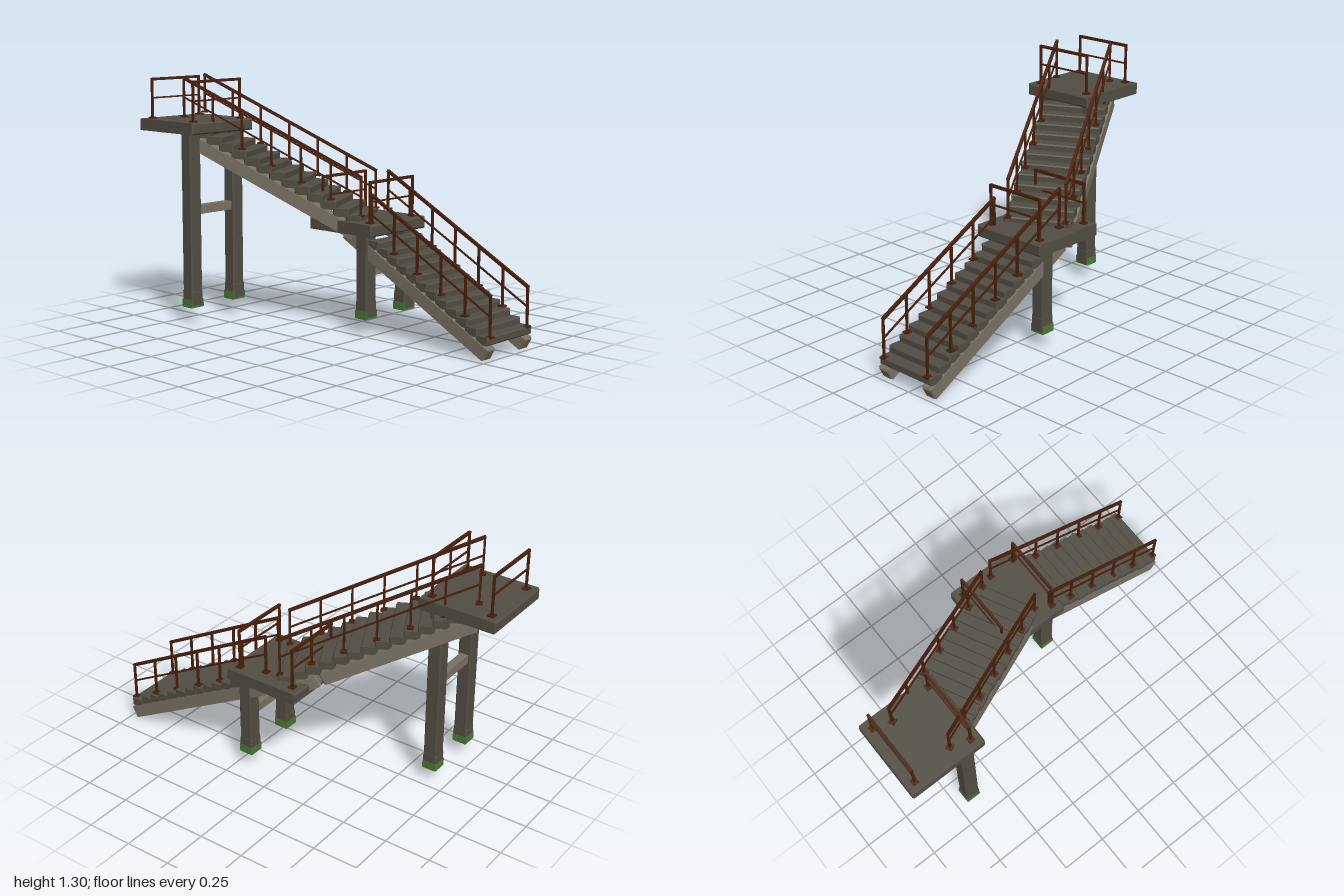
import * as THREE from 'three';

const mat = (name, color) => {
  const m = new THREE.MeshStandardMaterial({ color });
  m.name = name;
  return m;
};
const Z = new THREE.Vector3(0, 0, 1);
const v = (x, y, z) => new THREE.Vector3(x, y, z);

export function createModel() {
  const concrete = mat('dark concrete', 0x524e44);
  const beamStone = mat('pale concrete', 0x7a7165);
  const rust = mat('rusty steel', 0x4a200c);
  const moss = mat('moss', 0x4a7a38);

  let seed = 7;
  const rand = () => (seed = (seed * 16807) % 2147483647) / 2147483647;

  const add = (parent, name, geo, material, x = 0, y = 0, z = 0) => {
    const m = new THREE.Mesh(geo, material);
    m.name = name;
    m.position.set(x, y, z);
    parent.add(m);
    return m;
  };
  // Box with chamfered edges, centred on the origin
  const chamferBox = (w, h, d, b) => {
    const x = w / 2 - b, y = h / 2 - b;
    const s = new THREE.Shape([
      new THREE.Vector2(-x, -y), new THREE.Vector2(x, -y),
      new THREE.Vector2(x, y), new THREE.Vector2(-x, y)]);
    const g = new THREE.ExtrudeGeometry(s, {
      depth: d - 2 * b, bevelEnabled: true, bevelSize: b, bevelThickness: b, bevelSegments: 1 });
    return g.translate(0, 0, b - d / 2);
  };
  // Straight member between two points
  const bar = (parent, name, a, b, w, h, material, chamfer = 0) => {
    const len = a.distanceTo(b);
    const geo = chamfer ? chamferBox(w, h, len, chamfer) : new THREE.BoxGeometry(w, h, len);
    const m = add(parent, name, geo, material);
    m.position.copy(a).add(b).multiplyScalar(0.5);
    m.quaternion.setFromUnitVectors(Z, b.clone().sub(a).normalize());
    return m;
  };
  // Upright with its foot plate
  const post = (parent, x, y, z, h) => {
    bar(parent, 'railPost', v(x, y, z), v(x, y + h, z), 0.011, 0.011, rust);
    add(parent, 'postPlate', new THREE.BoxGeometry(0.033, 0.008, 0.033), rust, x, y + 0.004, z);
  };

  // Flight climbing along its own -z, starting at the group origin
  const flight = (o) => {
    const g = new THREE.Group();
    g.name = o.name;
    g.position.set(o.x, 0, o.z);
    g.rotation.y = o.turn;
    const line = (x, s, dy) => v(x, o.base + o.slope * s + dy, -s);
    for (let k = 0; k < o.steps; k++) {
      const s = -0.005 + k * o.tread;
      const w = 0.355 - rand() * 0.008;
      add(g, 'step', chamferBox(w, 0.042, o.tread + 0.014, 0.006), concrete,
        (rand() - 0.5) * 0.006, o.base + 0.007 + o.slope * k * o.tread - 0.021,
        -(s + o.tread / 2 + 0.004));
    }
    for (const side of [-1, 1]) {
      const x = side * 0.15;
      const runs = side === 1 && o.gap ? [[o.from, o.gap], [o.gap + 0.016, o.to]] : [[o.from, o.to]];
      for (const [a, b] of runs)
        bar(g, 'stringer', line(x, a, -o.drop), line(x, b, -o.drop), 0.064, 0.066, beamStone, 0.007);
      // Handrail, middle rail and evenly spaced posts
      const n = side === -1 ? o.rightPosts : 7;
      const end = (o.run * (n - 1)) / 6;
      bar(g, 'handrail', line(x, -0.004, 0.205), line(x, end + 0.004, 0.205), 0.015, 0.015, rust);
      bar(g, 'middleRail', line(x, 0, 0.105), line(x, end, 0.105), 0.008, 0.008, rust);
      for (let i = 0; i < n; i++) {
        const p = line(x, (o.run * i) / 6, 0);
        post(g, x, p.y, p.z, 0.205);
      }
    }
    return g;
  };

  // Landing slab with two rails, two columns and a tie beam
  const landing = (name, cx, cz, top) => {
    const g = new THREE.Group();
    g.name = name;
    g.position.set(cx, 0, cz);
    const under = top - 0.06;
    add(g, 'slab', chamferBox(0.43, 0.062, 0.43, 0.007), concrete, 0, top - 0.031, 0);
    for (const z of [-0.165, 0.165]) {
      for (const x of [-0.165, 0.165]) post(g, x, top, z, 0.21);
      bar(g, 'handrail', v(-0.17, top + 0.21, z), v(0.17, top + 0.21, z), 0.014, 0.014, rust);
      bar(g, 'middleRail', v(-0.165, top + 0.11, z), v(0.165, top + 0.11, z), 0.008, 0.008, rust);
    }
    const zc = 0.125;
    for (const x of [-0.15, 0.15]) {
      add(g, 'column', chamferBox(0.074, under - 0.1, 0.076, 0.007), concrete, x, (under + 0.1) / 2, zc);
      add(g, 'columnFoot', chamferBox(0.079, 0.09, 0.08, 0.007), concrete, x, 0.135, zc);
      // Moss on the foot, with only a thin line at the front
      for (const s of [-1, 1])
        add(g, 'mossSide', new THREE.BoxGeometry(0.004, 0.042, 0.078), moss, x + s * 0.039, 0.113, zc);
      add(g, 'mossBack', new THREE.BoxGeometry(0.079, 0.042, 0.004), moss, x, 0.113, zc - 0.039);
      add(g, 'mossFront', new THREE.BoxGeometry(0.079, 0.008, 0.004), moss, x, 0.096, zc + 0.039);
    }
    const y = 0.09 + (under - 0.09) * 0.56;
    bar(g, 'tieBeam', v(-0.12, y, zc), v(0.12, y, zc), 0.046, 0.046, beamStone, 0.006);
    return g;
  };

  const model = new THREE.Group();
  model.name = 'staircase';
  model.add(
    landing('lowerLanding', 0.215, 0.065, 0.59),
    landing('upperLanding', -0.22, -0.785, 1.08),
    flight({ name: 'lowerFlight', x: 0.218, z: 0.985, turn: 0, base: 0.12, slope: 0.538, run: 0.912,
      tread: 0.0635, steps: 12, from: 0.003, to: 0.92, drop: 0.086, rightPosts: 6 }),
    flight({ name: 'upperFlight', x: 0.215, z: 0.07, turn: 0.473, base: 0.61, slope: 0.507, run: 0.966,
      tread: 0.069, steps: 13, from: -0.01, to: 0.955, drop: 0.1, rightPosts: 7, gap: 0.2 }));
  return model;
}
